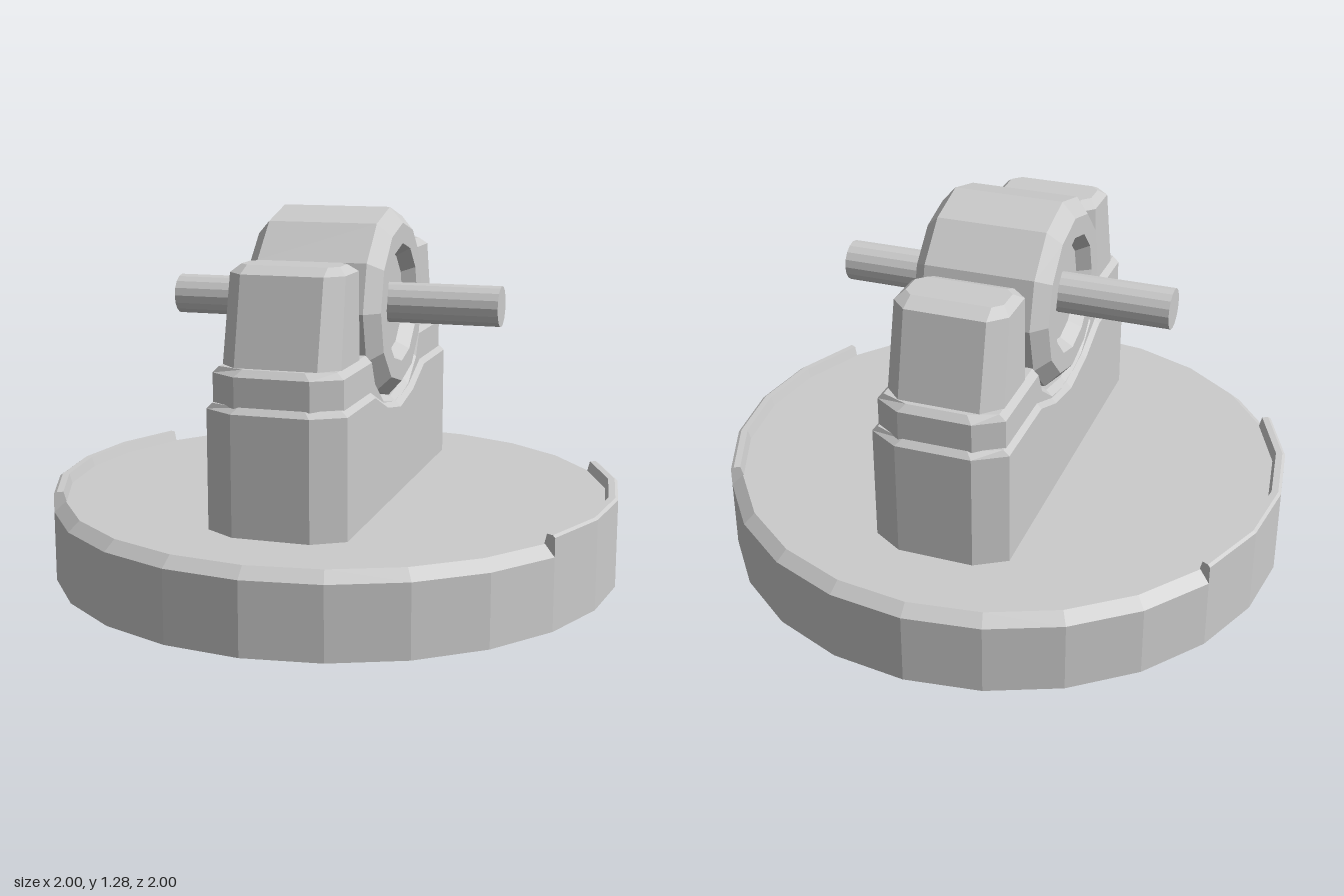
import * as THREE from 'three';

const material = new THREE.MeshStandardMaterial({ color: 0xcccccc, flatShading: true, side: THREE.DoubleSide });

function addMesh(parent, geometry, name) {
  const mesh = new THREE.Mesh(geometry, material);
  mesh.name = name;
  parent.add(mesh);
  return mesh;
}

// Skin through cross-sections that all have the same number of points
function loft(sections, closed) {
  const n = sections[0].length;
  const index = [];
  for (let s = 0; s < sections.length - 1; s++) {
    for (let i = 0; i < (closed ? n : n - 1); i++) {
      const a = s * n + i, b = s * n + (i + 1) % n;
      index.push(a, b, b + n, a, b + n, a + n);
    }
  }
  const g = new THREE.BufferGeometry();
  g.setAttribute('position', new THREE.Float32BufferAttribute(sections.flat(2), 3));
  g.setIndex(index);
  const flat = g.toNonIndexed();
  flat.computeVertexNormals();
  return flat;
}

// Saddle block lofted along z. Half profile rows, outside to middle: [z, half width, top]
function saddle(rows, bottom, bevel, end) {
  const mirrored = rows.slice(0, -1).reverse().map(([z, w, t]) => [-z, w, t]);
  const all = [...rows, ...mirrored];
  const sections = all.map(([z, w, t]) => {
    const wi = Math.max(0, w - bevel);
    const zi = Math.sign(z) * Math.min(Math.abs(z), end - bevel);
    return [[w, bottom, z], [w, t, z], [wi, t + bevel, zi], [-wi, t + bevel, zi], [-w, t, z], [-w, bottom, z]];
  });
  return loft(sections, false);
}

// Rectangle with cut corners in plan
function cutRectangle(y, w, z0, z1, c) {
  return [[w, z0 + c], [w - c, z0], [c - w, z0], [-w, z0 + c],
    [-w, z1 - c], [c - w, z1], [w - c, z1], [w, z1 - c]].map(([x, z]) => [x, y, z]);
}

function buildBase() {
  const base = new THREE.Group();
  base.name = 'base';
  const v = ([x, y]) => new THREE.Vector2(x, y);
  const low = [[1, 0], [1, 0.245], [0.96, 0.28], [0, 0.28]].map(v);
  const raised = [[1, 0], [1, 0.308], [0.99, 0.315], [0.967, 0.315], [0.957, 0.28], [0, 0.28]].map(v);
  const lip = [[1, 0.245], [1, 0.308], [0.99, 0.315], [0.967, 0.315], [0.957, 0.28]].map(v);
  const deg = Math.PI / 180;
  for (const start of [-60, 120]) addMesh(base, new THREE.LatheGeometry(low, 8, start * deg, 120 * deg), 'plate');
  for (const start of [60, 240]) addMesh(base, new THREE.LatheGeometry(raised, 4, start * deg, 60 * deg), 'raisedRim');
  // Closing faces where the raised rim steps down
  for (const angle of [30, 150, 210, 330]) {
    addMesh(base, new THREE.ShapeGeometry(new THREE.Shape(lip)), 'rimEnd').rotation.y = angle * deg;
  }
  // Hollow socket under the plate
  const socket = loft([0, 0.28].map((y) => cutRectangle(y, 0.19, -0.31, 0.31, 0.055)), true);
  addMesh(base, socket, 'socket');
  return base;
}

function buildCradle() {
  const cradle = new THREE.Group();
  cradle.name = 'cradle';
  // Lower block, scooped below the wheel
  addMesh(cradle, saddle([
    [0.71, 0, 0.68], [0.71, 0.13, 0.68], [0.645, 0.235, 0.68], [0.33, 0.235, 0.68],
    [0.17, 0.235, 0.615], [0, 0.235, 0.585],
  ], 0.245, 0.02, 0.71), 'lowerBlock');
  // Narrower step with a deeper scoop
  addMesh(cradle, saddle([
    [0.69, 0, 0.795], [0.69, 0.125, 0.795], [0.63, 0.218, 0.795], [0.315, 0.218, 0.795],
    [0.275, 0.218, 0.715], [0.165, 0.218, 0.635], [0, 0.218, 0.6],
  ], 0.5, 0.022, 0.69), 'upperStep');
  // Tapered towers before and behind the wheel
  const levels = [
    cutRectangle(0.8, 0.198, 0.33, 0.655, 0.06),
    cutRectangle(1.105, 0.193, 0.33, 0.585, 0.055),
    cutRectangle(1.13, 0.165, 0.39, 0.53, 0.03),
  ];
  levels.push(levels[2].map(() => [0, 1.13, 0.46]));
  for (const turn of [0, Math.PI]) addMesh(cradle, loft(levels, true), 'tower').rotation.y = turn;
  return cradle;
}

function buildWheel() {
  const wheel = new THREE.Group();
  wheel.name = 'wheel';
  // Bevelled rim with a recessed hub on both faces
  const half = [[0, 0.19], [0.175, 0.19], [0.205, 0.237], [0.275, 0.237], [0.328, 0.19]];
  const profile = [...half.map(([r, h]) => [r, -h]), ...half.slice().reverse()];
  addMesh(wheel, new THREE.LatheGeometry(profile.map(([r, h]) => new THREE.Vector2(r, h)), 12), 'rim');
  addMesh(wheel, new THREE.CylinderGeometry(0.07, 0.07, 1.17, 16), 'axle');
  wheel.rotation.z = Math.PI / 2;
  wheel.position.y = 0.953;
  return wheel;
}

export function createModel() {
  const model = new THREE.Group();
  model.name = 'wheelOnStand';
  model.add(buildBase(), buildCradle(), buildWheel());
  return model;
}
